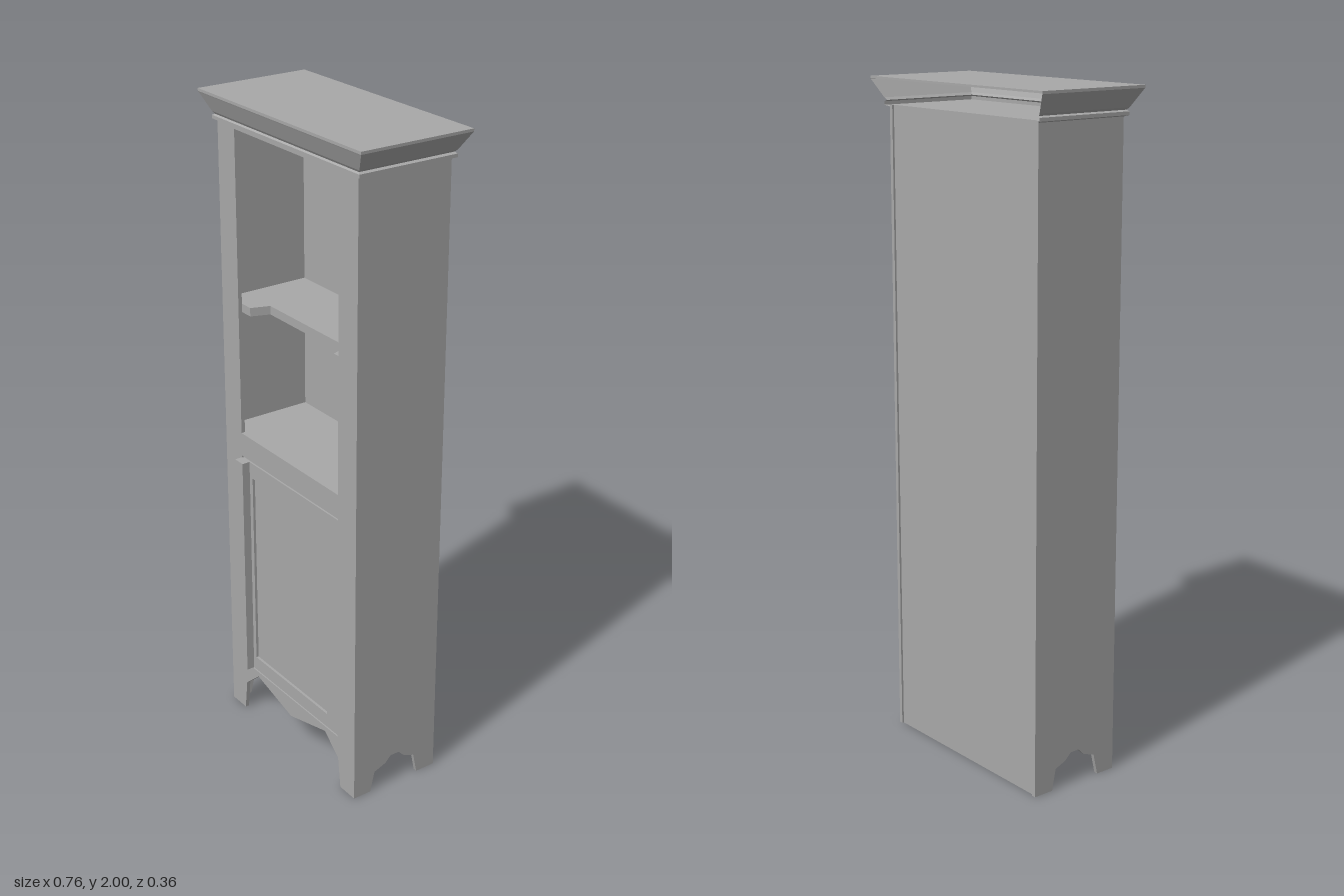
import * as THREE from 'three';

const W = 0.33, D = 0.15, H = 1.92; // half width, half depth, carcass height
const T = 0.012;                    // board thickness

export function createModel() {
  const group = new THREE.Group();
  const paint = new THREE.MeshStandardMaterial({ color: 0xa8a8a8, side: THREE.DoubleSide });
  paint.name = 'grey paint';

  const add = (name, geometry) => {
    const mesh = new THREE.Mesh(geometry, paint);
    mesh.name = name;
    group.add(mesh);
    return mesh;
  };
  const box = (name, x0, x1, y0, y1, z0, z1) => {
    const mesh = add(name, new THREE.BoxGeometry(x1 - x0, y1 - y0, z1 - z0));
    mesh.position.set((x0 + x1) / 2, (y0 + y1) / 2, (z0 + z1) / 2);
    return mesh;
  };
  const points = (list) => list.map(([x, y]) => new THREE.Vector2(x, y));
  const rect = (x0, x1, y0, y1) => points([[x0, y0], [x0, y1], [x1, y1], [x1, y0]]);
  const board = (outline, holes, depth) => {
    const shape = new THREE.Shape(outline);
    for (const hole of holes) shape.holes.push(new THREE.Path(hole));
    return new THREE.ExtrudeGeometry(shape, { depth, bevelEnabled: false });
  };

  // Front frame with shaped apron, open niche and door opening
  const frame = board(points([
    [-W, 0], [-0.26, 0], [-0.248, 0.1], [-0.18, 0.158], [0, 0.11],
    [0.18, 0.158], [0.248, 0.1], [0.26, 0], [W, 0], [W, H], [-W, H],
  ]), [rect(-0.245, 0.245, 0.985, 1.91), rect(-0.245, 0.245, 0.175, 0.91)], T);
  add('frontFrame', frame).position.z = D - T;

  // Side boards with foot cutouts
  const sideOutline = points([
    [-D, 0], [-0.085, 0], [-0.072, 0.065], [-0.035, 0.08], [-0.015, 0.1], [0.015, 0.1],
    [0.035, 0.08], [0.075, 0.065], [0.09, 0], [D - T, 0], [D - T, H], [-D, H],
  ]);
  for (const [name, x] of [['leftSide', W], ['rightSide', T - W]]) {
    const side = add(name, board(sideOutline, [], T).rotateY(-Math.PI / 2));
    side.position.x = x;
  }

  // Back, top and decks
  const inner = W - T;
  box('backPanel', -inner, inner, 0, H, -D + 0.006, -D + 0.018);
  box('carcassTop', -inner, inner, H - 0.012, H, -D + 0.018, D - T);
  box('nicheFloor', -inner, inner, 0.96, 0.984, -D + 0.018, D - T);
  box('bottomDeck', -inner, inner, 0.16, 0.175, -D + 0.018, D - T);

  // Shelf stepped back in the middle
  const shelf = board(points([
    [-inner, -0.132], [inner, -0.132], [inner, 0.136], [0.205, 0.136], [0.185, 0.08],
    [-0.185, 0.08], [-0.205, 0.136], [-inner, 0.136],
  ]), [], 0.026).rotateX(Math.PI / 2);
  add('shelf', shelf).position.y = 1.393;

  // Door with recessed panel and raised edge strip
  const doorFrame = board(rect(-0.242, 0.245, 0.18, 0.905), [rect(-0.19, 0.19, 0.225, 0.855)], 0.02);
  add('doorFrame', doorFrame).position.z = D - 0.02;
  box('doorPanel', -0.19, 0.19, 0.225, 0.855, D - 0.018, D - 0.008);
  box('doorStrip', -0.245, -0.205, 0.18, 0.905, D, D + 0.025);

  // Crown moulding round the front and sides, open behind
  const profile = [[0, 1.915], [0.014, 1.919], [0.014, 1.929], [0.006, 1.933],
    [0.014, 1.94], [0.047, 1.988], [0.05, 1.992], [0.05, 2]];
  const corners = [[-1, -1], [-1, 1], [1, 1], [1, -1]];
  const vertex = ([sx, sz], [o, y]) => [sx * (W + o), y, sz * (D + 0.6 * o)];
  const positions = [];
  for (let c = 0; c < 3; c++) {
    for (let p = 0; p + 1 < profile.length; p++) {
      const a = vertex(corners[c], profile[p]);
      const b = vertex(corners[c + 1], profile[p]);
      const d = vertex(corners[c + 1], profile[p + 1]);
      const e = vertex(corners[c], profile[p + 1]);
      positions.push(...a, ...b, ...d, ...a, ...d, ...e);
    }
  }
  const crown = new THREE.BufferGeometry();
  crown.setAttribute('position', new THREE.Float32BufferAttribute(positions, 3));
  crown.computeVertexNormals();
  add('crownMoulding', crown);
  box('topBoard', -0.38, 0.38, 1.994, 2, -0.18, 0.18);

  return group;
}
